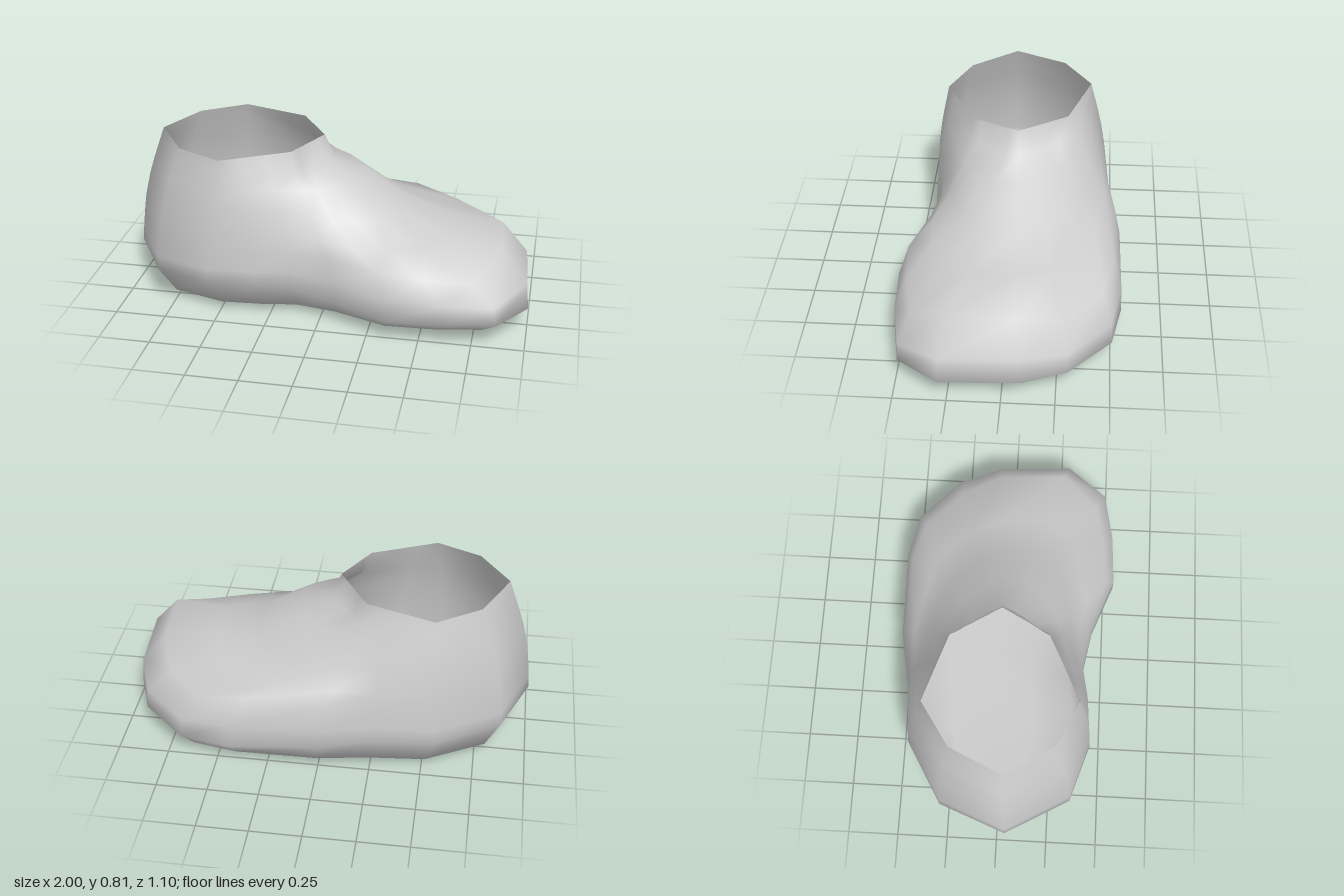
import * as THREE from 'three';

// Widest outline of the shoe: x, z, the collar corner (may be fractional) its column
// rises to, and how far the toe shoulder drops there
const OUTLINE = [
  [-1, 0.04, 4, 0], [-0.87, -0.29, 3, 0], [-0.56, -0.47, 2, 0], [-0.25, -0.5, 1.4, 0],
  [0, -0.545, 1, 0], [0.44, -0.55, 0.75, 0.02], [0.68, -0.505, 0.5, 0.07], [0.9, -0.3, 0.25, 0.07],
  [0.98, -0.08, 0, 0.01], [1, 0.29, -0.2, 0], [0.86, 0.49, -0.4, 0.1], [0.61, 0.535, -0.6, 0.08],
  [0.36, 0.545, -0.8, 0.05], [0.08, 0.44, -1, 0.02], [-0.14, 0.4, -1.35, 0],
  [-0.31, 0.43, -1.7, 0], [-0.54, 0.445, -2, 0], [-0.82, 0.355, -3, 0],
];

// Eight-sided ankle opening: x, z
const COLLAR = [
  [-0.05, -0.02], [-0.2, -0.26], [-0.53, -0.37], [-0.74, -0.23],
  [-0.86, 0.03], [-0.71, 0.26], [-0.49, 0.365], [-0.17, 0.21],
];

// Wall profiles from outline to collar: [share of the way inward, height]
const HEEL = [[0, 0.18], [0.03, 0.25], [0.1, 0.34], [0.2, 0.44], [0.4, 0.56], [0.6, 0.65], [0.85, 0.75], [1, 0.81]];
// The toe profile adds the share of the shoulder drop
const TOE = [
  [0, 0.11, 0], [0.01, 0.24, 0.4], [0.13, 0.395, 1], [0.39, 0.425, 0.4],
  [0.61, 0.515, 0.15], [0.79, 0.635, 0], [0.95, 0.7, 0], [1, 0.81, 0],
];

// Sole rings: [x scale, z scale, z shift, height]
const SOLE = [[0.77, 0.46, -0.05, 0.007], [0.92, 0.87, -0.02, 0.038]];

const { lerp, smoothstep } = THREE.MathUtils;

function collarPoint(t) {
  const i = Math.floor(t);
  const a = COLLAR[(i + 8) % 8];
  const b = COLLAR[(i + 9) % 8];
  return [lerp(a[0], b[0], t - i), lerp(a[1], b[1], t - i)];
}

function createShell() {
  const positions = [];
  const index = [];
  const n = OUTLINE.length;

  // Sole
  for (const [sx, sz, shift, y] of SOLE) {
    for (const [x, z] of OUTLINE) positions.push(x * sx, y, z * sz + shift);
  }

  // Walls: upright at the heel, sweeping over the instep at the toe
  HEEL.forEach(([heelIn, heelY], level) => {
    const [toeIn, toeY, dropShare] = TOE[level];
    for (const [x, z, corner, drop] of OUTLINE) {
      const [cx, cz] = collarPoint(corner);
      const w = smoothstep(x, -0.35, 0.35);
      const s = lerp(heelIn, toeIn, w);
      const dip = 0.05 * Math.max(cz, 0) * s + drop * dropShare;
      positions.push(lerp(x, cx, s), lerp(heelY, toeY, w) - dip, lerp(z, cz, s));
    }
  });

  // Skin between neighbouring rings
  const rings = SOLE.length + HEEL.length;
  for (let r = 0; r < rings - 1; r++) {
    for (let j = 0; j < n; j++) {
      const a = r * n + j;
      const b = r * n + (j + 1) % n;
      index.push(a, a + n, b, b, a + n, b + n);
    }
  }

  // Flat underside
  const centre = positions.length / 3;
  positions.push(0, 0, -0.05);
  for (let j = 0; j < n; j++) index.push(centre, j, (j + 1) % n);

  const geometry = new THREE.BufferGeometry();
  geometry.setAttribute('position', new THREE.Float32BufferAttribute(positions, 3));
  geometry.setIndex(index);
  geometry.computeVertexNormals();
  return geometry;
}

export function createModel() {
  const group = new THREE.Group();
  group.name = 'shoe';
  const material = new THREE.MeshStandardMaterial({ color: 0xcccccc, side: THREE.DoubleSide });
  const shell = new THREE.Mesh(createShell(), material);
  shell.name = 'shoeShell';
  group.add(shell);
  return group;
}
